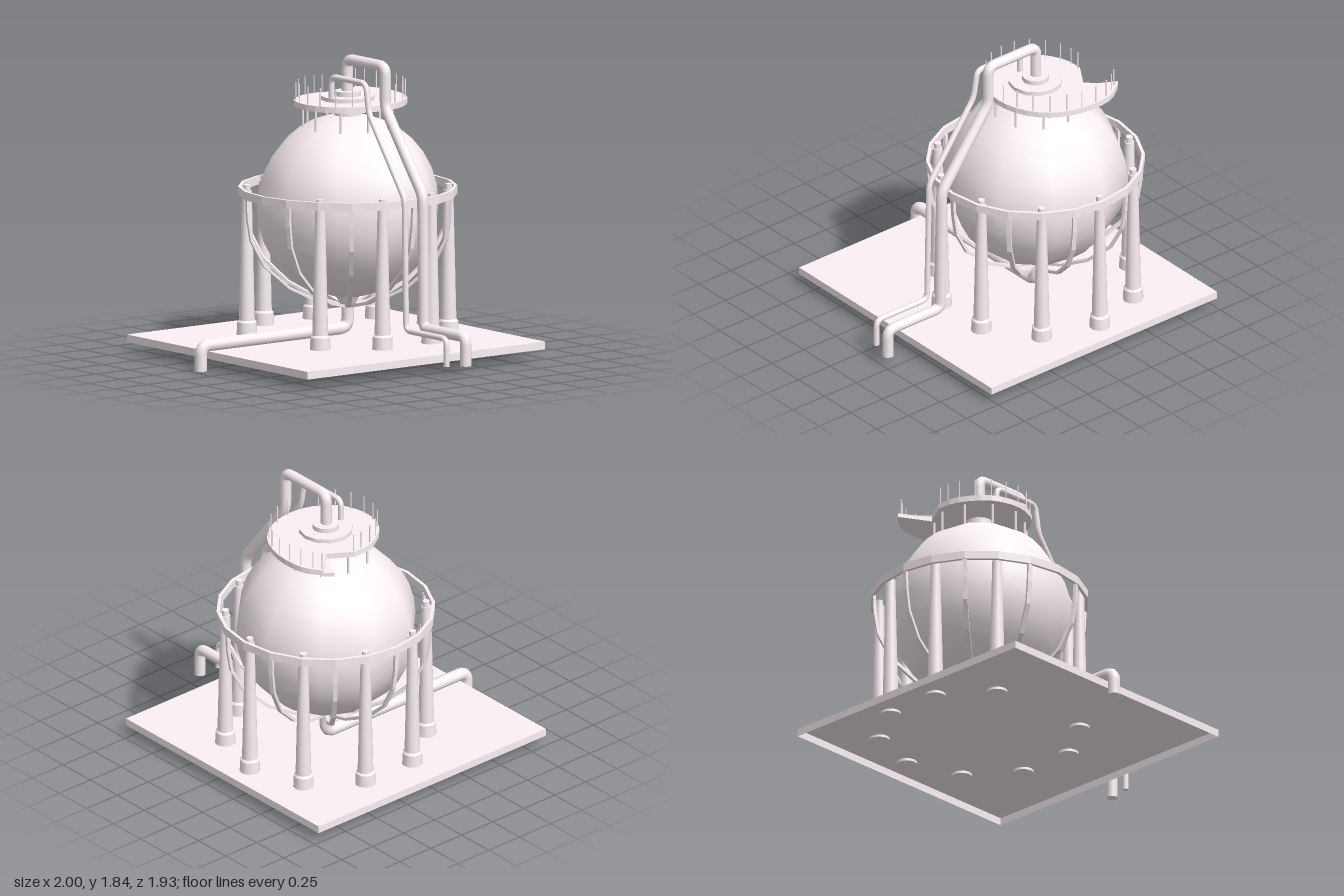
import * as THREE from 'three';

const paint = 0xfcf1f5;
const smooth = new THREE.MeshStandardMaterial({ color: paint });
const flat = new THREE.MeshStandardMaterial({ color: paint, flatShading: true });
const open = new THREE.MeshStandardMaterial({ color: paint, side: THREE.DoubleSide });
const STEP = Math.PI / 5;
const V = (x, y, z) => new THREE.Vector3(x, y, z);
const flatPoints = list => list.map(p => new THREE.Vector2(...p));

function add(parent, name, geometry, material, x = 0, y = 0, z = 0) {
  const mesh = new THREE.Mesh(geometry, material);
  mesh.name = name;
  mesh.position.set(x, y, z);
  parent.add(mesh);
  return mesh;
}

// Upright cylinder or cone between two heights
function post(parent, name, rTop, rBottom, y0, y1, sides, x = 0, z = 0) {
  return add(parent, name, new THREE.CylinderGeometry(rTop, rBottom, y1 - y0, sides), smooth, x, (y0 + y1) / 2, z);
}

// Pipe along straight runs with short rounded elbows and closed ends
function pipe(parent, name, points, radius, bend) {
  const path = new THREE.CurvePath();
  let from = points[0];
  for (let i = 1; i < points.length - 1; i++) {
    const p = points[i];
    const a = p.clone().add(points[i - 1].clone().sub(p).setLength(bend));
    const b = p.clone().add(points[i + 1].clone().sub(p).setLength(bend));
    path.add(new THREE.LineCurve3(from, a));
    path.add(new THREE.QuadraticBezierCurve3(a, p, b));
    from = b;
  }
  const last = points[points.length - 1];
  path.add(new THREE.LineCurve3(from, last));
  const group = new THREE.Group();
  group.name = name;
  parent.add(group);
  add(group, name + 'Run', new THREE.TubeGeometry(path, 160, radius, 10), open);
  for (const end of [points[0], last]) {
    add(group, name + 'End', new THREE.CircleGeometry(radius, 10).rotateX(Math.PI / 2), open, end.x, end.y, end.z);
  }
}

export function createModel() {
  const root = new THREE.Group();
  root.name = 'sphericalStorageTank';

  // Ground slab, hollow and open underneath (the bottom face is dropped)
  const slabShell = new THREE.BoxGeometry(1.778, 0.047, 1.836);
  slabShell.setIndex([...slabShell.index.array].filter((_, i) => i < 18 || i >= 24));
  slabShell.clearGroups();
  add(root, 'baseSlab', slabShell, open, -0.111, 0.0905, -0.05);

  // Everything round shares the tank axis
  const tank = new THREE.Group();
  tank.name = 'tank';
  tank.position.set(-0.197, 0, -0.208);
  root.add(tank);

  const shell = add(tank, 'tankShell', new THREE.SphereGeometry(0.563, 10, 16), smooth, 0, 0.908, 0);
  shell.rotation.y = -Math.PI / 20;

  // Neck and hatch on top, funnel outlet below
  post(tank, 'topNeck', 0.083, 0.083, 1.44, 1.54, 12);
  post(tank, 'hatchFlange', 0.165, 0.165, 1.55, 1.583, 12);
  post(tank, 'hatchCap', 0.083, 0.083, 1.58, 1.612, 12);
  post(tank, 'outletFunnel', 0.075, 0.036, 0.28, 0.35, 12);

  // Columns every 36 degrees, the front place left free for the outlet pipe
  for (let i = 1; i < 10; i++) {
    const column = new THREE.Group();
    column.name = 'column';
    column.position.set(Math.sin(i * STEP) * 0.613, 0, Math.cos(i * STEP) * 0.613);
    tank.add(column);
    post(column, 'columnFoot', 0.06, 0.064, 0.098, 0.19, 12);
    post(column, 'columnCollar', 0.049, 0.06, 0.19, 0.203, 12);
    post(column, 'columnShaft', 0.03, 0.049, 0.2, 1.0, 12);
    post(column, 'columnTip', 0.022, 0.022, 1.0, 1.036, 12);
  }

  // Ring girder
  const ringProfile = flatPoints([[0.647, 0.975], [0.667, 0.975], [0.667, 1.026], [0.647, 1.026], [0.647, 0.975]]);
  add(tank, 'ringGirder', new THREE.LatheGeometry(ringProfile, 20), flat);

  // Curved straps hanging from the ring under the sphere
  const outer = flatPoints([[0.659, 0.98], [0.654, 0.86], [0.632, 0.72], [0.547, 0.557], [0.385, 0.412],
    [0.2, 0.319], [0.05, 0.282]]);
  const centre = new THREE.Vector2(0, 0.91);
  const inner = outer.map(p => p.clone().add(centre.clone().sub(p).setLength(0.018))).reverse();
  const strap = new THREE.ExtrudeGeometry(new THREE.Shape([...outer, ...inner]), { depth: 0.028, bevelEnabled: false });
  strap.translate(0, 0, -0.014);
  for (let i = 0; i < 10; i++) {
    add(tank, 'strap', strap, flat).rotation.y = (i + 0.5) * STEP - Math.PI / 2;
  }

  // Platform whose rounded edge winds outward to the stair landing
  const rim = new THREE.SplineCurve(flatPoints([[-0.317, -0.04], [-0.3, 0.11], [-0.18, 0.275], [0.01, 0.326],
    [0.2, 0.25], [0.302, 0.06], [0.285, -0.16], [0.16, -0.335], [-0.035, -0.416], [-0.24, -0.412], [-0.362, -0.34]]));
  const notch = [-0.223, -0.187];
  const plate = (points, depth) =>
    new THREE.ExtrudeGeometry(new THREE.Shape(points), { depth, bevelEnabled: false }).rotateX(Math.PI / 2);
  add(tank, 'platform', plate([...flatPoints([notch]), ...rim.getPoints(30)], 0.036), flat, 0, 1.558, 0);
  add(tank, 'stairLanding', plate(flatPoints([notch, [-0.362, -0.34], [-0.412, -0.29]]), 0.025), flat, 0, 1.542, 0);

  // Rail posts along the platform edge
  for (const p of rim.getPoints(20)) {
    post(tank, 'railPost', 0.004, 0.004, 1.55, 1.67, 6, p.x * 0.95, p.y * 0.97);
  }

  // Platform legs standing on the sphere
  for (let i = 0; i < 10; i++) {
    const a = i * STEP + 0.12;
    post(tank, 'platformLeg', 0.008, 0.008, 1.385, 1.53, 6, Math.sin(a) * 0.275, Math.cos(a) * 0.275);
  }

  // Pipes: outlet to the front, large and small overhead lines to the side
  pipe(root, 'outletPipe', [V(-0.197, 0.3, -0.207), V(-0.197, 0.153, -0.207), V(-0.197, 0.153, 0.927),
    V(-0.197, 0, 0.927)], 0.038, 0.06);
  pipe(root, 'largeOverheadPipe', [V(-0.2, 1.58, -0.207), V(-0.2, 1.806, -0.207), V(0.174, 1.806, -0.207),
    V(0.174, 1.55, -0.207), V(0.542, 1.06, -0.207), V(0.552, 0.243, -0.207), V(0.965, 0.243, -0.207),
    V(0.965, 0.066, -0.207)], 0.034, 0.05);
  pipe(root, 'smallOverheadPipe', [V(-0.185, 1.55, -0.075), V(-0.185, 1.713, -0.075), V(0.152, 1.713, -0.075),
    V(0.182, 1.53, -0.075), V(0.532, 1.05, -0.075), V(0.547, 0.243, -0.075), V(0.945, 0.243, -0.075),
    V(0.945, 0.072, -0.075)], 0.018, 0.045);

  return root;
}
